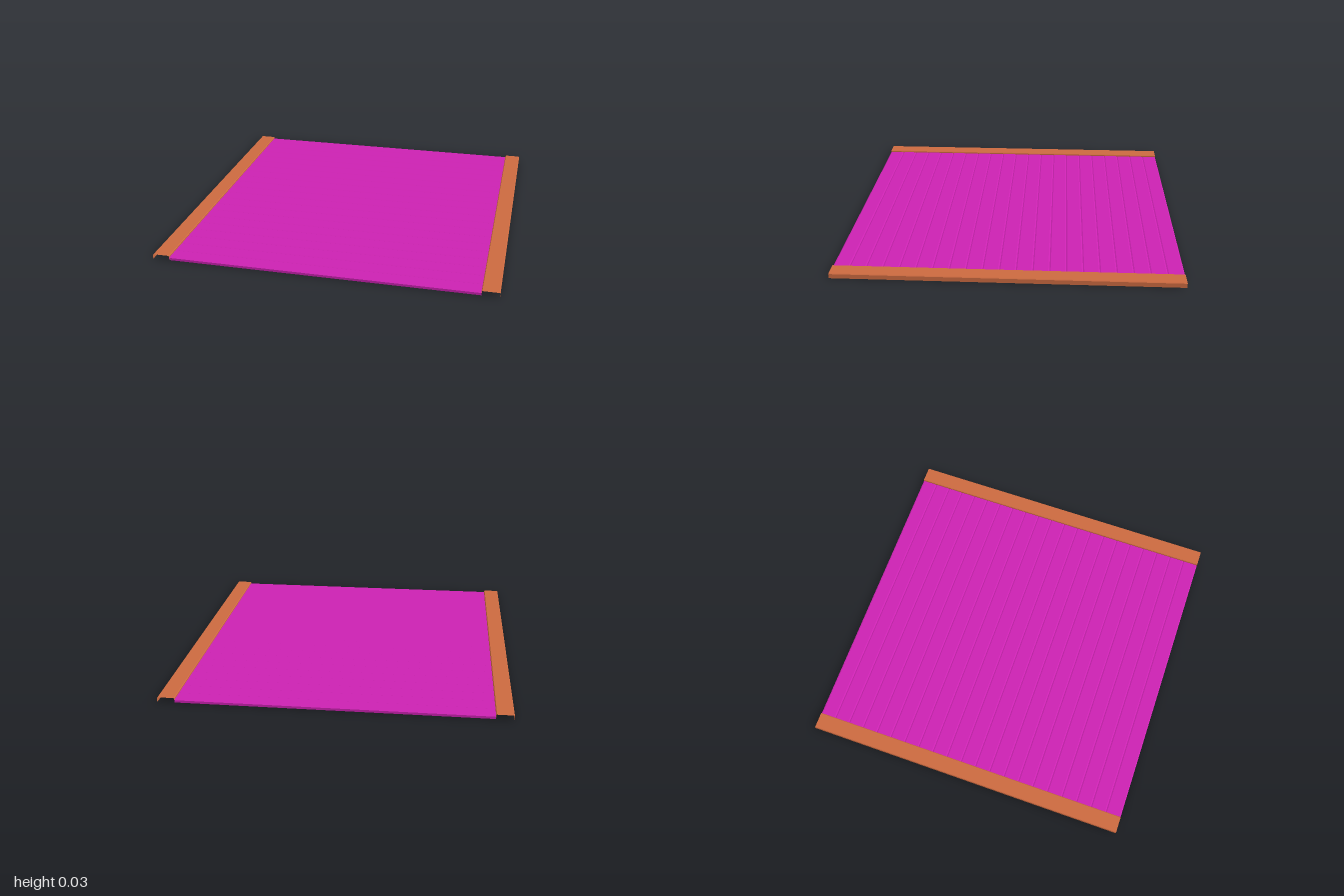
import * as THREE from 'three';

const SLATS = 21;
const PITCH = 2 / SLATS;
const HALF_WIDTH = 0.9;

// Open sheet: an x/y profile swept along z, flat shaded
function sweepSheet(profile, z0, z1) {
  const pos = [];
  for (let i = 0; i < profile.length - 1; i++) {
    const [ax, ay] = profile[i], [bx, by] = profile[i + 1];
    pos.push(ax, ay, z0, ax, ay, z1, bx, by, z1);
    pos.push(ax, ay, z0, bx, by, z1, bx, by, z0);
  }
  const geo = new THREE.BufferGeometry();
  geo.setAttribute('position', new THREE.Float32BufferAttribute(pos, 3));
  geo.computeVertexNormals();
  return geo;
}

// Chamfered slat, extruded across the width
function slatGeometry() {
  const w = PITCH / 2, h = 0.02, cz = 0.007, cy = 0.003;
  const shape = new THREE.Shape([
    [-w, cy], [-w + cz, 0], [w - cz, 0], [w, cy],
    [w, h - cy], [w - cz, h], [-w + cz, h], [-w, h - cy],
  ].map(([x, y]) => new THREE.Vector2(x, y)));
  const length = 2 * HALF_WIDTH - 0.001;
  const geo = new THREE.ExtrudeGeometry(shape, { depth: length, bevelEnabled: false });
  geo.translate(0, 0, -length / 2);
  geo.rotateY(Math.PI / 2);
  return geo;
}

export function createModel() {
  const group = new THREE.Group();
  const slatMat = new THREE.MeshStandardMaterial({ color: 0xcc22b2, flatShading: true });
  const railMat = new THREE.MeshStandardMaterial({
    color: 0xcc6a40, flatShading: true, side: THREE.DoubleSide,
  });

  // Row of slats from back to front
  const panel = new THREE.Group();
  panel.name = 'slatPanel';
  const slatGeo = slatGeometry();
  for (let i = 0; i < SLATS; i++) {
    const slat = new THREE.Mesh(slatGeo, slatMat);
    slat.name = 'slat';
    slat.position.z = -1 + (i + 0.5) * PITCH;
    panel.add(slat);
  }
  group.add(panel);

  // Side rails: thin channels, open below and at both ends
  const r = 0.05, top = 0.03, c = 0.004;
  const railGeo = sweepSheet(
    [[-r, 0], [-r, top - c], [-r + c, top], [r - c, top], [r, top - c], [r, 0]], -1, 1);
  for (const side of [-1, 1]) {
    const rail = new THREE.Mesh(railGeo, railMat);
    rail.name = side > 0 ? 'leftRail' : 'rightRail';
    rail.position.x = side * (HALF_WIDTH + r);
    group.add(rail);
  }
  return group;
}
